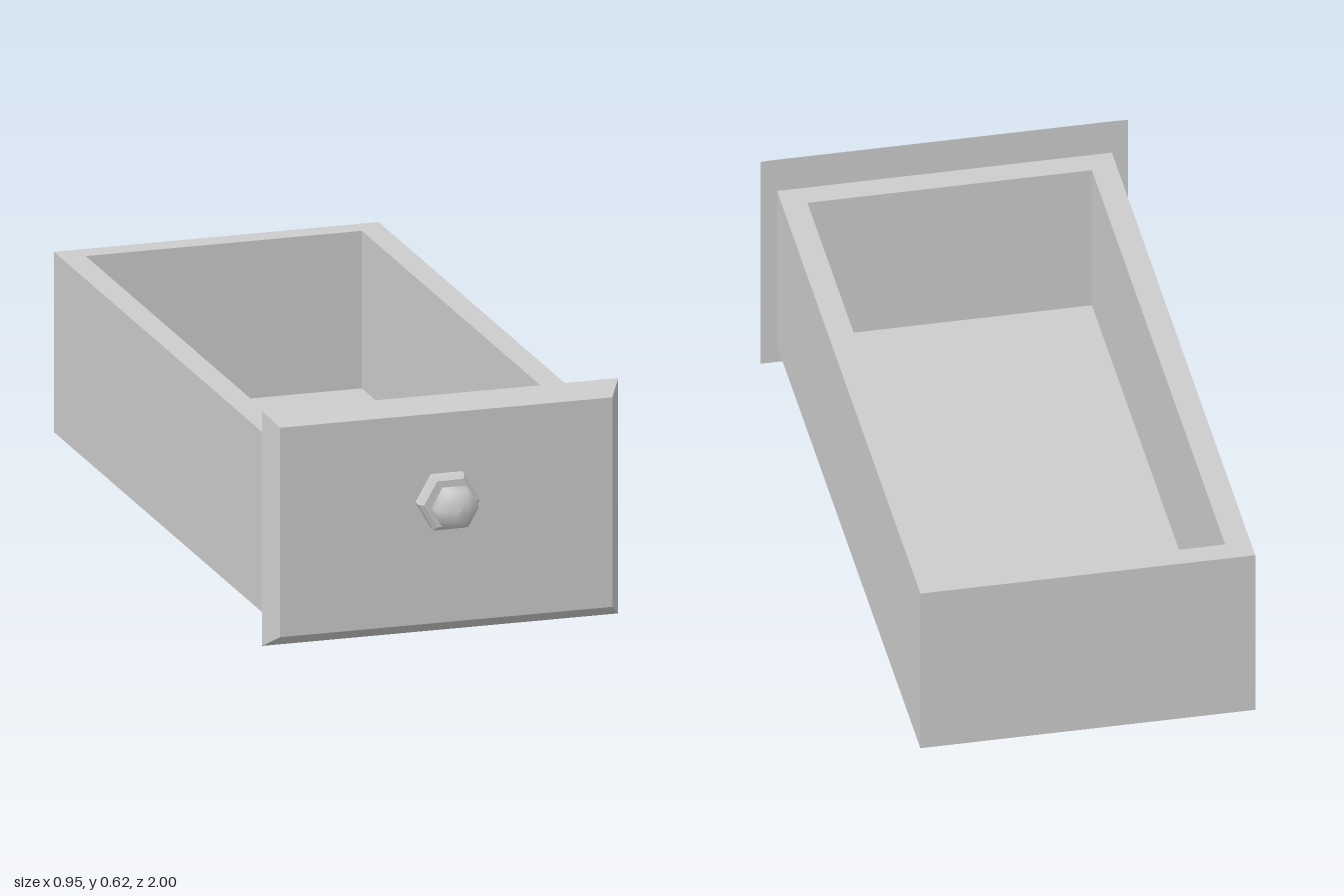
import * as THREE from 'three';

const grey = new THREE.MeshStandardMaterial({ color: 0xcccccc });
grey.name = 'grey';

function part(name, geometry) {
  const mesh = new THREE.Mesh(geometry, grey);
  mesh.name = name;
  return mesh;
}

// Gives every face its own flat normal
function faceted(geometry) {
  const flat = geometry.toNonIndexed();
  flat.computeVertexNormals();
  return flat;
}

function rectangle(path, x, y0, y1) {
  path.moveTo(-x, y0);
  path.lineTo(x, y0);
  path.lineTo(x, y1);
  path.lineTo(-x, y1);
  path.closePath();
  return path;
}

// Four walls: a rectangular ring extruded upwards
function walls() {
  const ring = rectangle(new THREE.Shape(), 0.432, -0.83, 1);
  ring.holes.push(rectangle(new THREE.Path(), 0.367, -0.763, 0.938));
  return new THREE.ExtrudeGeometry(ring, { depth: 0.475, bevelEnabled: false })
    .rotateX(-Math.PI / 2)
    .translate(0, 0.05, 0);
}

// Front panel: a box whose front face is drawn in to make the bevel
function panel() {
  const geometry = new THREE.BoxGeometry(0.948, 0.62, 0.05);
  const p = geometry.attributes.position;
  for (let i = 0; i < p.count; i++) {
    if (p.getZ(i) > 0) {
      p.setX(i, Math.sign(p.getX(i)) * 0.442);
      p.setY(i, Math.sign(p.getY(i)) * 0.276);
    }
  }
  return faceted(geometry).translate(0, 0.31, 0.855);
}

// Six-sided turned piece, its axis pointing to the front
function turned(points) {
  const profile = points.map(([r, z]) => new THREE.Vector2(r, z));
  return new THREE.LatheGeometry(profile, 6, Math.PI / 2).rotateX(Math.PI / 2);
}

export function createModel() {
  const model = new THREE.Group();
  model.name = 'drawer';

  const floor = new THREE.BoxGeometry(0.734, 0.06, 1.701).translate(0, 0.08, -0.0875);
  model.add(part('walls', walls()), part('floor', floor), part('frontPanel', panel()));

  // Knob: hexagonal backplate, narrow neck and rounded ball
  const knob = new THREE.Group();
  knob.name = 'knob';
  knob.position.y = 0.357;
  const plate = turned([[0.082, 0.878], [0.082, 0.905], [0.07, 0.915], [0, 0.915]]);
  const ball = turned([
    [0.044, 0.912], [0.046, 0.92], [0.057, 0.935], [0.062, 0.953],
    [0.057, 0.973], [0.044, 0.988], [0.024, 0.997], [0, 1],
  ]);
  knob.add(part('knobPlate', faceted(plate)), part('knobBall', ball));
  model.add(knob);
  return model;
}
